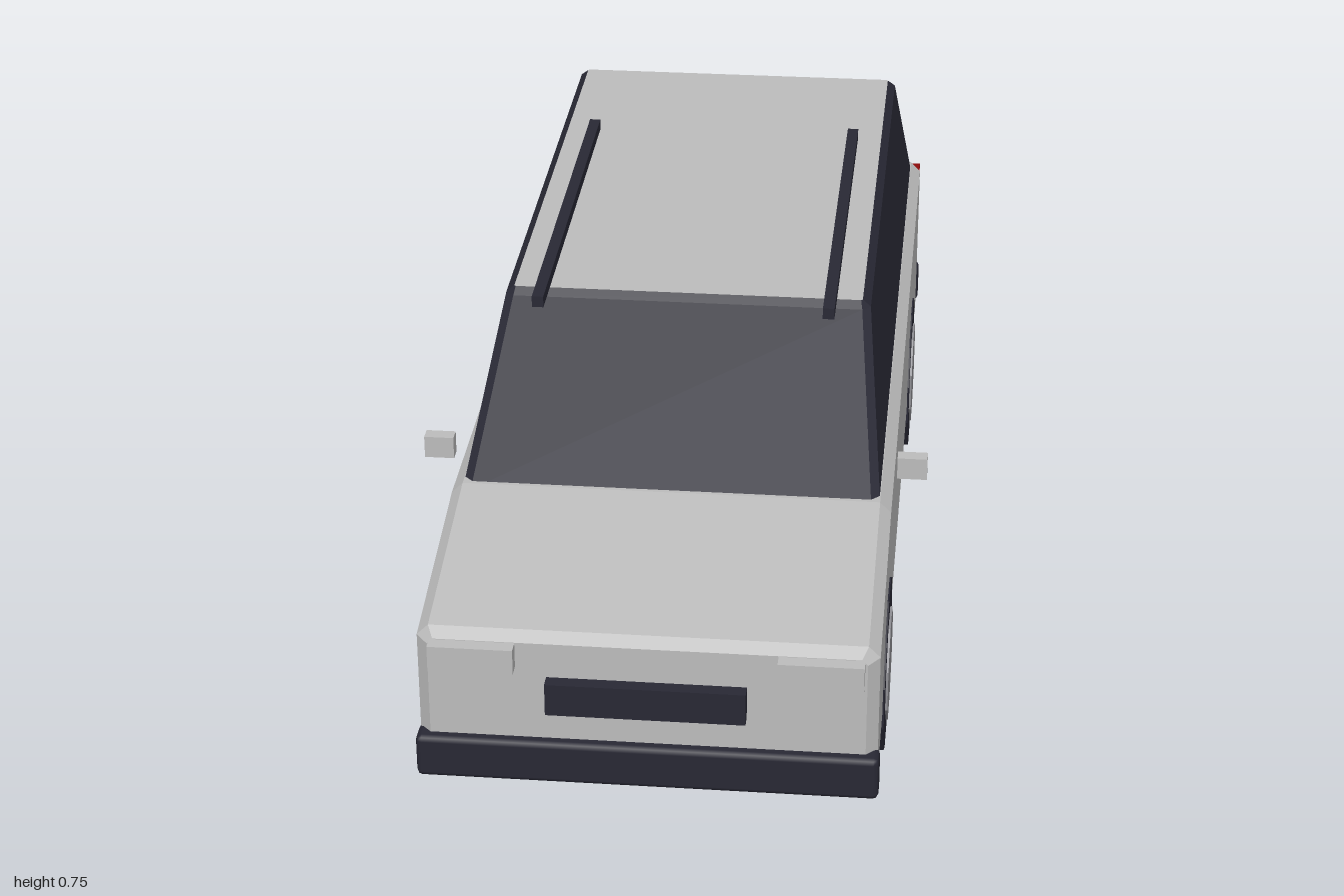
import * as THREE from 'three';
import { RoundedBoxGeometry } from 'three/addons/geometries/RoundedBoxGeometry.js';

const material = (name, color) => {
  const m = new THREE.MeshStandardMaterial({ color });
  m.name = name;
  return m;
};

// Rectangle with cut corners, counter-clockwise, at height z
function cutRect(z, w, y0, y1, c) {
  return [
    [w, y0 + c], [w, y1 - c], [w - c, y1], [c - w, y1],
    [-w, y1 - c], [-w, y0 + c], [c - w, y0], [w - c, y0],
  ].map(([x, y]) => [x, y, z]);
}

// Flat-faced solid through rings along +z; group 1 is the far cap
function loft(rings) {
  const pos = [];
  const tri = (a, b, c) => pos.push(...a, ...b, ...c);
  const n = rings[0].length;
  for (let i = 0; i < rings.length - 1; i++) {
    for (let j = 0; j < n; j++) {
      const k = (j + 1) % n;
      const [a, b, c, d] = [rings[i][j], rings[i][k], rings[i + 1][k], rings[i + 1][j]];
      tri(a, b, c);
      tri(a, c, d);
    }
  }
  const first = rings[0], last = rings[rings.length - 1];
  for (let j = 1; j < n - 1; j++) tri(first[0], first[j + 1], first[j]);
  const split = pos.length / 3;
  for (let j = 1; j < n - 1; j++) tri(last[0], last[j], last[j + 1]);
  const g = new THREE.BufferGeometry();
  g.setAttribute('position', new THREE.Float32BufferAttribute(pos, 3));
  g.computeVertexNormals();
  g.addGroup(0, split, 0);
  g.addGroup(split, pos.length / 3 - split, 1);
  return g;
}

export function createModel() {
  const car = new THREE.Group();
  car.name = 'stationWagon';
  const paint = material('silverPaint', 0xbcbcbc);
  const dark = material('darkTrim', 0x282834);
  const hubGrey = material('hubGrey', 0x8e8e93);
  const red = material('tailRed', 0x8c0a0a);

  const add = (name, geometry, mat, x = 0, y = 0, z = 0) => {
    const mesh = new THREE.Mesh(geometry, mat);
    mesh.name = name;
    mesh.position.set(x, y, z);
    car.add(mesh);
    return mesh;
  };
  const box = (name, mat, w, h, d, x, y, z) =>
    add(name, new THREE.BoxGeometry(w, h, d), mat, x, y, z);

  // Lower body with sloping bonnet
  add('body', loft([
    cutRect(-0.968, 0.372, 0.145, 0.46, 0.01),
    cutRect(-0.945, 0.392, 0.13, 0.482, 0.02),
    cutRect(0.58, 0.392, 0.13, 0.485, 0.02),
    cutRect(0.955, 0.392, 0.13, 0.42, 0.02),
    cutRect(0.975, 0.372, 0.145, 0.405, 0.01),
  ]), [paint, paint]);

  // Glass cabin tapering to a painted roof
  const cabin = loft([
    cutRect(0.475, 0.372, -0.585, 0.938, 0.015),
    cutRect(0.712, 0.335, -0.275, 0.833, 0.015),
    cutRect(0.725, 0.32, -0.262, 0.815, 0.003),
  ]);
  cabin.rotateX(-Math.PI / 2);
  add('cabin', cabin, [dark, paint]);

  // Bumpers and number plates
  add('frontBumper', new RoundedBoxGeometry(0.792, 0.08, 0.05, 1, 0.01), dark, 0, 0.178, 0.97);
  add('rearBumper', new RoundedBoxGeometry(0.792, 0.08, 0.05, 1, 0.01), dark, 0, 0.19, -0.96);
  box('grille', dark, 0.34, 0.06, 0.03, 0, 0.31, 0.985);
  box('rearPanel', dark, 0.21, 0.21, 0.04, 0, 0.365, -0.98);

  const tyre = new THREE.CylinderGeometry(0.16, 0.16, 0.09, 12).toNonIndexed();
  const hub = new THREE.CylinderGeometry(0.104, 0.104, 0.01, 8).toNonIndexed();
  [[tyre, 12], [hub, 8]].forEach(([g, sides]) => {
    g.rotateY(Math.PI / sides);
    g.rotateZ(Math.PI / 2);
    g.computeVertexNormals();
  });

  // Paired parts
  for (const [side, s] of [['left', 1], ['right', -1]]) {
    box(side + 'Headlight', paint, 0.145, 0.046, 0.03, s * 0.295, 0.381, 0.985);
    box(side + 'TailLight', red, 0.135, 0.048, 0.04, s * 0.323, 0.436, -0.97);
    box(side + 'RoofRail', dark, 0.021, 0.021, 0.835, s * 0.263, 0.74, -0.062);
    box(side + 'Mirror', paint, 0.053, 0.041, 0.026, s * 0.425, 0.516, 0.497);
    box(side + 'MirrorArm', paint, 0.04, 0.012, 0.014, s * 0.385, 0.503, 0.497).visible = false;
    for (const [end, z] of [['Front', 0.587], ['Rear', -0.572]]) {
      add(side + end + 'Tyre', tyre, dark, s * 0.35, 0.157, z);
      add(side + end + 'Hub', hub, hubGrey, s * 0.394, 0.157, z);
    }
  }
  return car;
}
